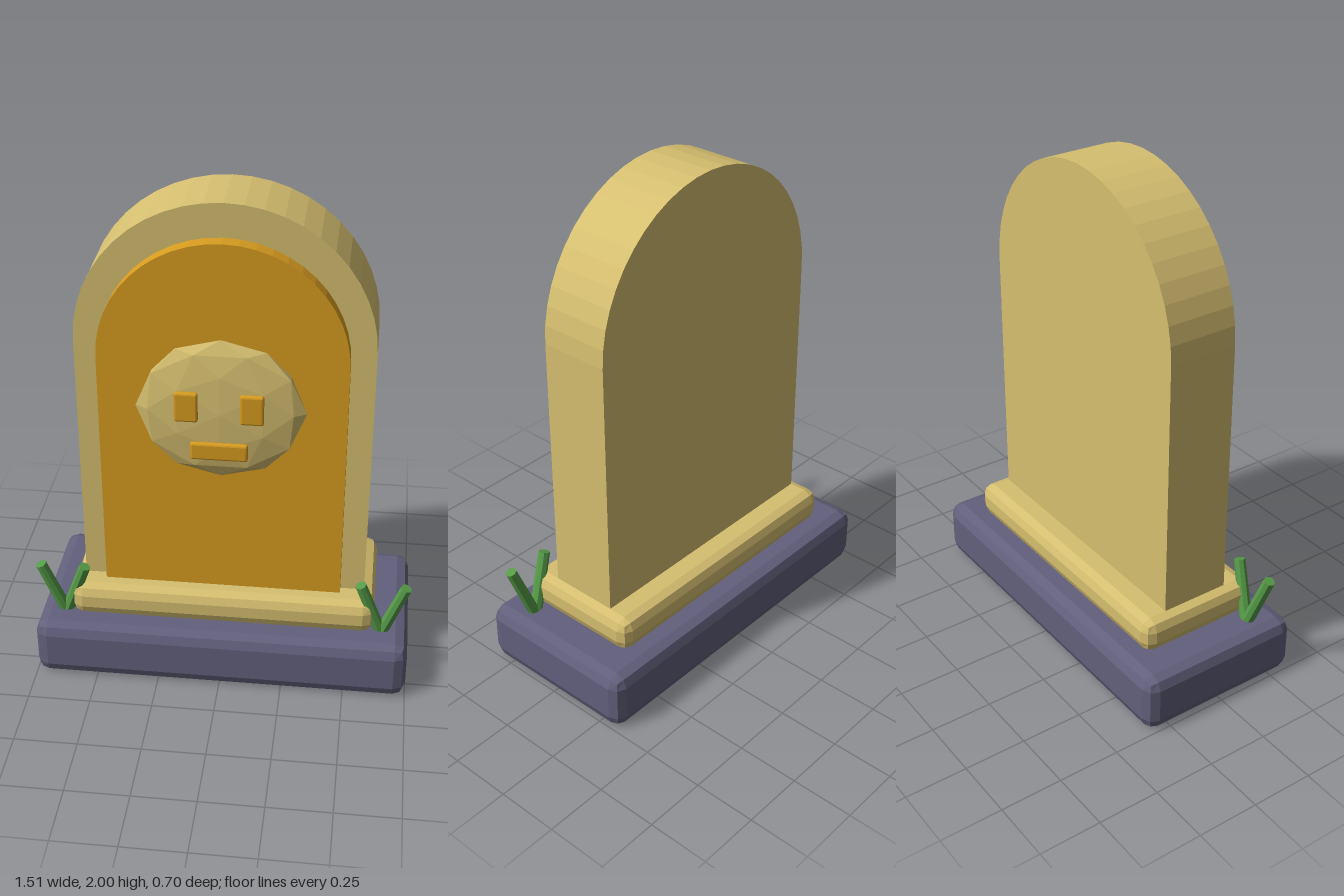
import * as THREE from 'three';
import { RoundedBoxGeometry } from 'three/addons/geometries/RoundedBoxGeometry.js';

const slate = new THREE.MeshStandardMaterial({ name: 'slate', color: 0x62607c });
const sand = new THREE.MeshStandardMaterial({ name: 'sand', color: 0xd6bf70 });
const gold = new THREE.MeshStandardMaterial({ name: 'gold', color: 0xd89c20 });
const green = new THREE.MeshStandardMaterial({ name: 'green', color: 0x569c48 });

// Gives every face its own flat normal
function flat(geometry) {
  const g = geometry.index ? geometry.toNonIndexed() : geometry;
  g.computeVertexNormals();
  return g;
}

export function createModel() {
  const model = new THREE.Group();
  model.name = 'tombstone';

  function add(name, geometry, material, x = 0, y = 0, z = 0) {
    const mesh = new THREE.Mesh(geometry, material);
    mesh.name = name;
    mesh.position.set(x, y, z);
    model.add(mesh);
    return mesh;
  }

  const block = (w, h, d, r) => flat(new RoundedBoxGeometry(w, h, d, 1, r));

  // Slab with a half-round top, from y0 to y1, standing on z = 0
  function arch(halfWidth, y0, y1, depth) {
    const shape = new THREE.Shape();
    shape.moveTo(-halfWidth, y0);
    shape.lineTo(halfWidth, y0);
    shape.absarc(0, y1 - halfWidth, halfWidth, 0, Math.PI, false);
    shape.closePath();
    return new THREE.ExtrudeGeometry(shape, { depth, bevelEnabled: false, curveSegments: 12 });
  }

  // Stepped foot
  add('base', block(1.5, 0.24, 0.7, 0.05), slate, 0, 0.12, 0);
  add('plinth', block(1.22, 0.14, 0.52, 0.045), sand, 0, 0.31, 0);

  // Stone and its raised front panel
  add('stone', arch(0.565, 0.37, 2, 0.285), sand, 0, 0, -0.1425);
  add('frontPanel', arch(0.47, 0.4, 1.87, 0.06), gold, 0, 0, 0.1425);

  // Flattened faceted face
  const disc = new THREE.IcosahedronGeometry(1, 1);
  disc.scale(0.32, 0.287, 0.05);
  add('face', flat(disc), sand, 0, 1.225, 0.235);
  add('mouth', block(0.215, 0.07, 0.024, 0.008), gold, 0, 1.082, 0.3);

  // Straight blade between two points
  function blade(name, from, to) {
    const axis = to.clone().sub(from);
    const mesh = add(name, flat(new THREE.CylinderGeometry(0.023, 0.025, axis.length(), 8)), green);
    mesh.position.copy(from).add(to).multiplyScalar(0.5);
    mesh.quaternion.setFromUnitVectors(new THREE.Vector3(0, 1, 0), axis.normalize());
  }

  for (const [side, s] of [['left', 1], ['right', -1]]) {
    add(side + 'Eye', block(0.088, 0.12, 0.024, 0.008), gold, s * 0.122, 1.265, 0.3);
    // Grass tuft of two blades
    blade(side + 'InnerGrassBlade',
      new THREE.Vector3(s * 0.635, 0.235, 0.205), new THREE.Vector3(s * 0.552, 0.462, 0.229));
    blade(side + 'OuterGrassBlade',
      new THREE.Vector3(s * 0.648, 0.235, 0.205), new THREE.Vector3(s * 0.731, 0.462, 0.229));
  }

  return model;
}
